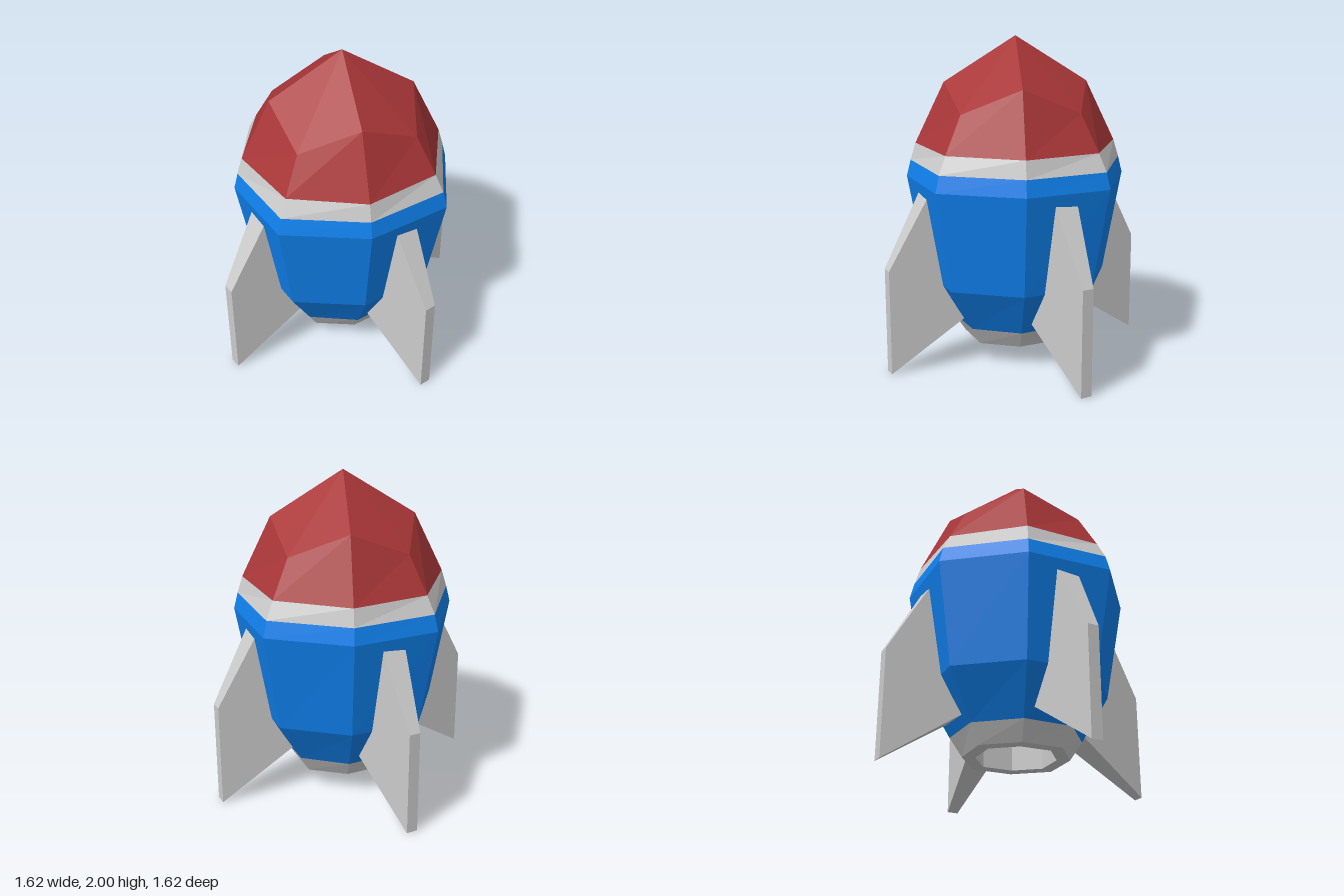
import * as THREE from 'three';

const mat = (color) => new THREE.MeshStandardMaterial({ color, flatShading: true });

// Eight-sided ring: on-axis radius a, diagonal corner offset d, heights of both
const ring = (a, d, y, yDiag = y) =>
  Array.from({ length: 8 }, (_, i) => {
    const t = (i * Math.PI) / 4;
    const odd = i % 2 === 1;
    const r = odd ? d * Math.SQRT2 : a;
    return [Math.sin(t) * r, odd ? yDiag : y, Math.cos(t) * r];
  });

// Skin between consecutive rings
function loft(name, rings, material) {
  const pos = [];
  for (let k = 0; k < rings.length - 1; k++) {
    const b = rings[k], t = rings[k + 1];
    for (let i = 0; i < 8; i++) {
      const j = (i + 1) % 8;
      pos.push(...b[i], ...b[j], ...t[j], ...b[i], ...t[j], ...t[i]);
    }
  }
  const geo = new THREE.BufferGeometry();
  geo.setAttribute('position', new THREE.Float32BufferAttribute(pos, 3));
  geo.computeVertexNormals();
  const mesh = new THREE.Mesh(geo, material);
  mesh.name = name;
  return mesh;
}

// Swept fin pointing along +x, thinning toward its outer edge
function finGeometry() {
  const outline = [
    [0.37, 0.33], [0.864, 0], [0.864, 0.65], [0.6, 1.12], [0.5, 0.53],
  ].map(([x, y]) => new THREE.Vector2(x, y));
  const geo = new THREE.ExtrudeGeometry(new THREE.Shape(outline), { depth: 1, bevelEnabled: false });
  const p = geo.attributes.position;
  for (let i = 0; i < p.count; i++) {
    const half = 0.035 + (0.864 - p.getX(i)) * 0.15;
    p.setZ(i, (p.getZ(i) * 2 - 1) * half);
  }
  geo.computeVertexNormals();
  return geo;
}

export function createModel() {
  const group = new THREE.Group();
  group.name = 'rocket';
  const red = mat(0xa93638), blue = mat(0x0f80ec), grey = mat(0xcccccc);

  // Shared seams between the coloured sections
  const nozzleTop = ring(0.395, 0.29, 0.245);
  const bandBottom = ring(0.645, 0.483, 1.25);
  const bandTop = ring(0.613, 0.443, 1.355);

  // Nozzle with a hollow underside
  group.add(loft('nozzle', [
    ring(0, 0, 0.4), ring(0.24, 0.18, 0.4), ring(0.24, 0.18, 0.13), ring(0.32, 0.24, 0.13), nozzleTop,
  ], grey));

  // Hull
  group.add(loft('hull', [
    nozzleTop, ring(0.56, 0.42, 0.53), ring(0.67, 0.503, 1.15), bandBottom,
  ], blue));

  group.add(loft('band', [bandBottom, bandTop], grey));

  // Nose cone, its corners dropping lower on the diagonals
  group.add(loft('noseCone', [bandTop, ring(0.435, 0.35, 1.725, 1.575), ring(0, 0, 2)], red));

  // Four fins
  const finGeo = finGeometry();
  for (let i = 0; i < 4; i++) {
    const fin = new THREE.Mesh(finGeo, grey);
    fin.name = 'fin' + (i + 1);
    fin.rotation.y = THREE.MathUtils.degToRad(22.6 + i * 90);
    group.add(fin);
  }
  return group;
}
